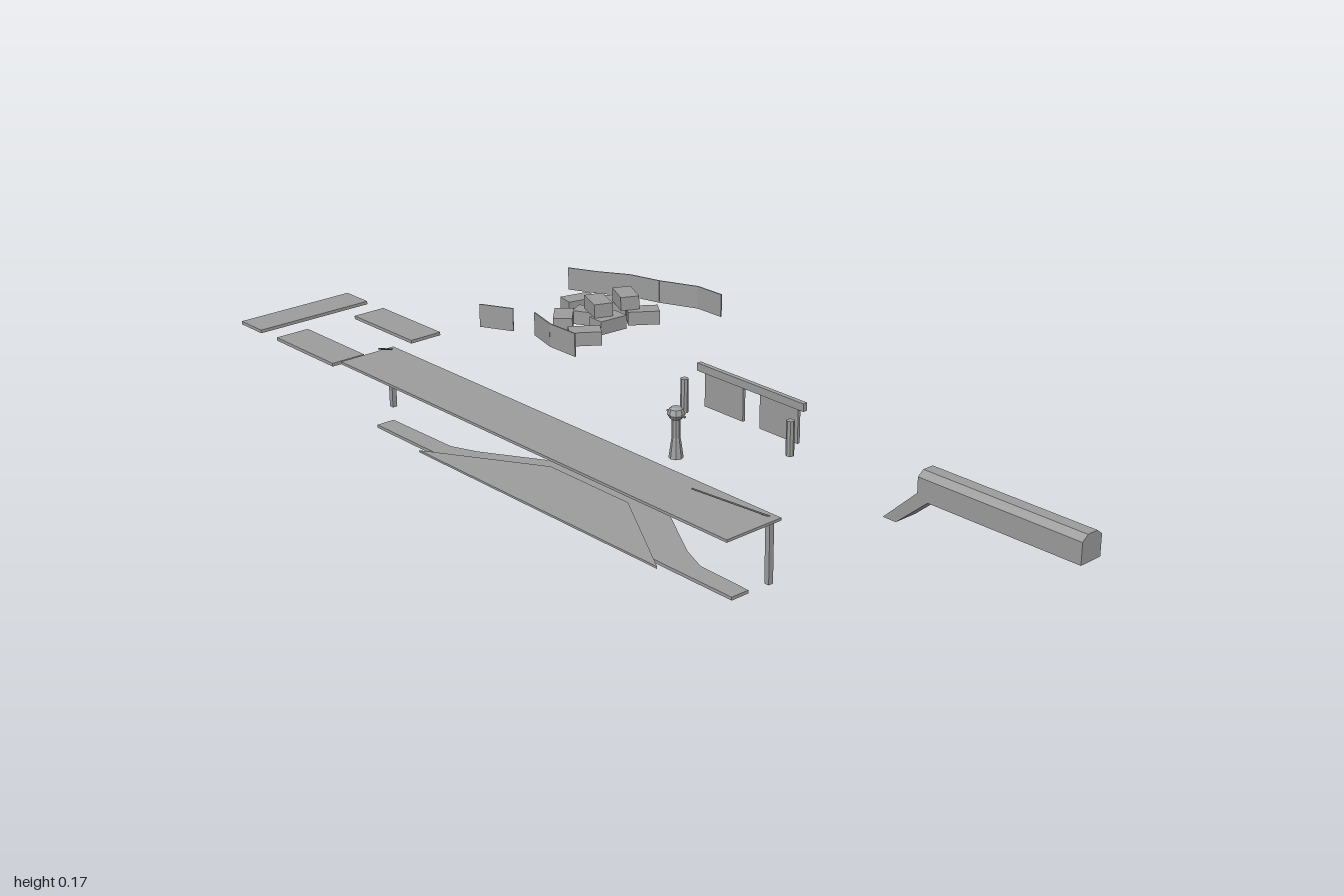
import * as THREE from 'three';

const grey = new THREE.MeshStandardMaterial({ color: 0x9d9d9d, flatShading: true, side: THREE.DoubleSide });

export function createModel() {
  const model = new THREE.Group();

  function add(name, geometry, x = 0, y = 0, z = 0, turn = 0) {
    const mesh = new THREE.Mesh(geometry, grey);
    mesh.name = name;
    mesh.position.set(x, y, z);
    mesh.rotation.y = turn;
    model.add(mesh);
    return mesh;
  }

  // Box given by its lower and upper corners
  function slab(name, x0, x1, y0, y1, z0, z1) {
    return add(name, new THREE.BoxGeometry(x1 - x0, y1 - y0, z1 - z0),
      (x0 + x1) / 2, (y0 + y1) / 2, (z0 + z1) / 2);
  }

  // Flat plate from an outline of [x, z] corners
  function plate(name, corners, y, thickness) {
    const shape = new THREE.Shape(corners.map(([x, z]) => new THREE.Vector2(x, -z)));
    const geometry = new THREE.ExtrudeGeometry(shape, { depth: thickness, bevelEnabled: false });
    add(name, geometry.rotateX(-Math.PI / 2), 0, y, 0);
  }

  // Straight bar between two points
  function bar(name, a, b, radius) {
    const from = new THREE.Vector3(...a), to = new THREE.Vector3(...b);
    const mesh = add(name, new THREE.CylinderGeometry(radius, radius, from.distanceTo(to), 6));
    mesh.position.copy(from).lerp(to, 0.5);
    mesh.quaternion.setFromUnitVectors(new THREE.Vector3(0, 1, 0), to.sub(from).normalize());
  }

  // Thin upright wall along [x, z] points
  function wall(name, points, height) {
    for (let i = 1; i < points.length; i++) {
      const [x0, z0] = points[i - 1], [x1, z1] = points[i];
      add(name, new THREE.BoxGeometry(Math.hypot(x1 - x0, z1 - z0), height, 0.003),
        (x0 + x1) / 2, height / 2, (z0 + z1) / 2, -Math.atan2(z1 - z0, x1 - x0));
    }
  }

  // Long canopy with two posts and slanted struts
  slab('canopyRoof', -0.41, 0.642, 0.114, 0.119, 0.345, 0.466);
  for (const [x, reach] of [[-0.403, -0.317], [0.627, 0.537]]) {
    slab('canopyPost', x - 0.005, x + 0.005, 0, 0.118, 0.351, 0.361);
    bar('canopyStrut', [x, 0.117, 0.352], [reach, 0.165, 0.443], 0.0016);
  }

  // Two-layer floor below the canopy
  plate('lowerFloor', [[-0.335, 0.442], [0.63, 0.442], [0.63, 0.405], [0.515, 0.402], [0.46, 0.38],
    [0.275, 0.27], [0.08, 0.27], [-0.105, 0.38], [-0.16, 0.402], [-0.335, 0.405]], 0, 0.006);
  plate('upperFloor', [[-0.17, 0.466], [0.48, 0.466], [0.26, 0.335], [0.05, 0.335]], 0.009, 0.004);

  // Ground mats
  slab('endMat', -1, -0.925, 0, 0.007, 0.05, 0.322);
  slab('sideMat', -0.865, -0.66, 0, 0.007, 0.05, 0.125);
  slab('sideMat', -0.865, -0.66, 0, 0.007, 0.245, 0.322);

  // Raised tunnel with a chamfered top, along x
  const section = new THREE.Shape([[-0.025, 0.059], [0.025, 0.059], [0.025, 0.1],
    [0.012, 0.11], [-0.012, 0.11], [-0.025, 0.1]].map(p => new THREE.Vector2(...p)));
  add('tunnel', new THREE.ExtrudeGeometry(section, { depth: 0.345, bevelEnabled: false })
    .rotateY(Math.PI / 2), 0.655, 0, 0.006);

  // Sloping ramp at the tunnel mouth
  const slope = new THREE.Shape([[0.58, 0], [0.61, 0], [0.68, 0.06], [0.655, 0.07]]
    .map(p => new THREE.Vector2(...p)));
  add('ramp', new THREE.ExtrudeGeometry(slope, { depth: 0.05, bevelEnabled: false }), 0, 0, -0.019);

  // Pedestal with a rounded head and cross arms
  const profile = [[0, 0], [0.014, 0], [0.009, 0.036], [0.008, 0.04], [0.008, 0.076],
    [0.012, 0.078], [0.017, 0.086], [0.013, 0.097], [0.008, 0.1], [0, 0.1]];
  add('pedestal', new THREE.LatheGeometry(profile.map(p => new THREE.Vector2(...p)), 8), 0.15, 0, 0.12);
  slab('pedestalArm', 0.126, 0.174, 0.085, 0.088, 0.118, 0.122);
  slab('pedestalArm', 0.148, 0.152, 0.085, 0.088, 0.103, 0.137);

  // Rail with hanging panels, and two short posts before it
  slab('panelRail', 0, 0.285, 0.077, 0.093, -0.083, -0.073);
  slab('panel', 0.02, 0.125, 0.008, 0.08, -0.081, -0.075);
  slab('panel', 0.17, 0.27, 0.008, 0.08, -0.081, -0.075);
  for (const x of [0, 0.285])
    add('shortPost', new THREE.CylinderGeometry(0.008, 0.008, 0.07, 8), x, 0.035, -0.04);

  // Heap of blocks: x, z, layer, turn
  const blocks = [[-0.583, -0.268, 0, 1.35], [-0.523, -0.315, 0, 0.55], [-0.433, -0.321, 0, 0.95],
    [-0.475, -0.309, 1, -0.45], [-0.505, -0.235, 0, 0.5], [-0.448, -0.235, 0, 1.5],
    [-0.48, -0.236, 1, -0.38], [-0.525, -0.176, 0, -0.75], [-0.42, -0.146, 0, 0.95]];
  for (const [x, z, layer, turn] of blocks)
    add('block', new THREE.BoxGeometry(0.068, 0.03, 0.041), x, 0.015 + layer * 0.03, z, turn);

  // Low walls around the heap
  wall('backWall', [[-0.703, -0.34], [-0.64, -0.37], [-0.575, -0.41], [-0.5, -0.43],
    [-0.415, -0.466], [-0.342, -0.466]], 0.051);
  wall('frontWall', [[-0.645, -0.045], [-0.575, -0.08]], 0.051);
  wall('frontWall', [[-0.525, -0.098], [-0.45, -0.078], [-0.37, -0.078]], 0.051);

  return model;
}
